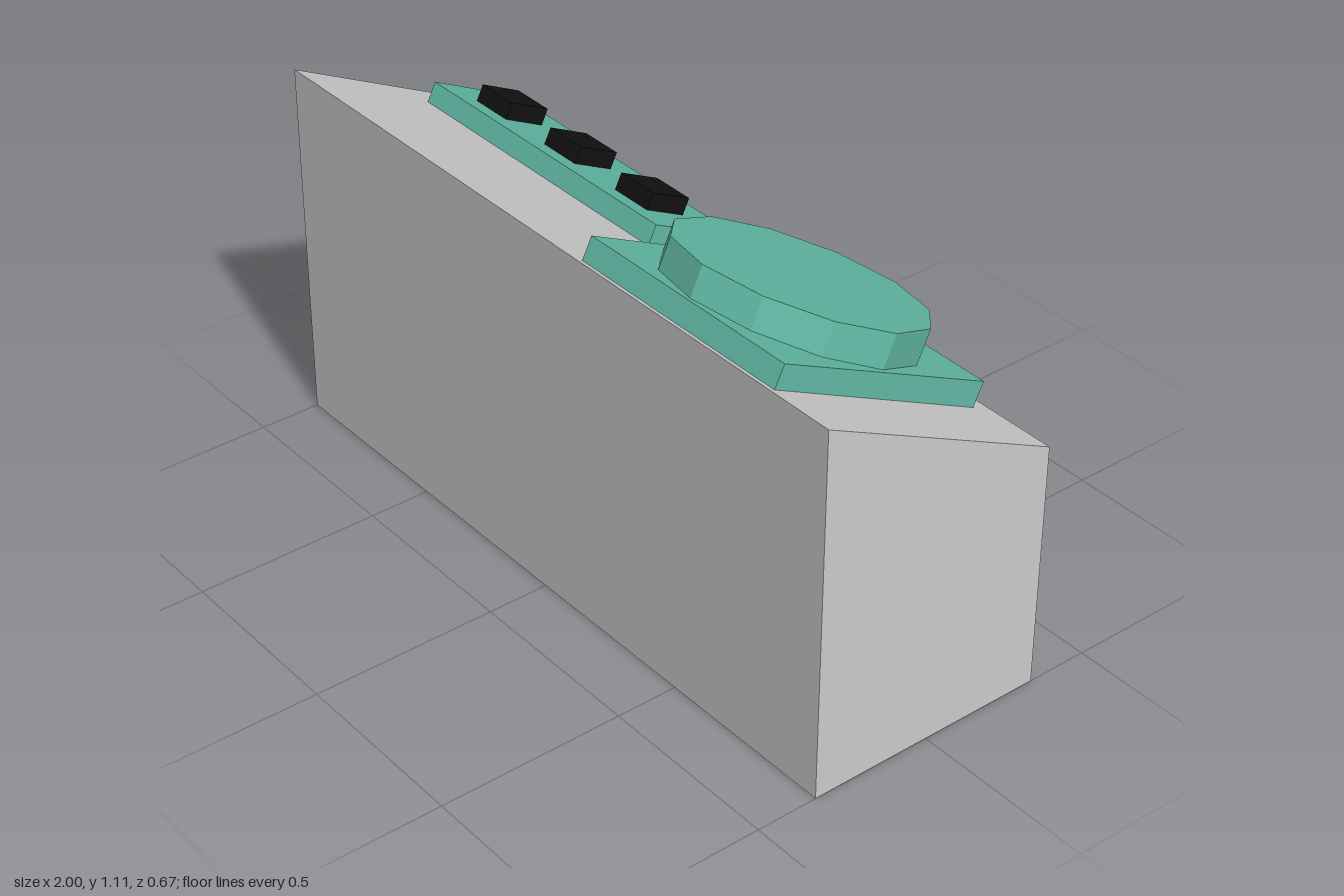
import * as THREE from 'three';

const grey = new THREE.MeshStandardMaterial({ color: 0xcccccc, flatShading: true });
const green = new THREE.MeshStandardMaterial({ color: 0x62b9a5, flatShading: true });
const black = new THREE.MeshStandardMaterial({ color: 0x111111, flatShading: true });

const SLOPE = Math.atan(0.5);

// Makes a part leaning back by tilt; (y, z) is the middle of its top face
function tiltedPart(name, geometry, material, height, tilt, x, y, z) {
  const mesh = new THREE.Mesh(geometry, material);
  mesh.name = name;
  mesh.rotation.x = -tilt;
  mesh.position.set(x, y - Math.cos(tilt) * height / 2, z + Math.sin(tilt) * height / 2);
  return mesh;
}

export function createModel() {
  const model = new THREE.Group();
  model.name = 'controlConsole';

  // Wedge-topped cabinet, high at the front
  const side = new THREE.Shape([
    new THREE.Vector2(-0.333, 0),
    new THREE.Vector2(0.333, 0),
    new THREE.Vector2(0.333, 0.667),
    new THREE.Vector2(-0.333, 1),
  ]);
  const cabinetGeometry = new THREE.ExtrudeGeometry(side, { depth: 2, bevelEnabled: false });
  cabinetGeometry.rotateY(Math.PI / 2).translate(-1, 0, 0);
  const cabinet = new THREE.Mesh(cabinetGeometry, grey);
  cabinet.name = 'cabinet';
  model.add(cabinet);

  // Square plate with a twelve-sided dial
  model.add(tiltedPart('dialPlate', new THREE.BoxGeometry(0.665, 0.067, 0.665), green,
    0.067, 0.457, 0.476, 0.9, -0.0085));
  model.add(tiltedPart('dial', new THREE.CylinderGeometry(0.317, 0.317, 0.1, 12), green,
    0.1, THREE.MathUtils.degToRad(25), 0.476, 0.979, -0.0455));

  // Long plate with three buttons
  model.add(tiltedPart('buttonPlate', new THREE.BoxGeometry(0.895, 0.058, 0.282), green,
    0.058, SLOPE, -0.4625, 0.82, -0.1485));
  for (let i = 0; i < 3; i++) {
    model.add(tiltedPart('button', new THREE.BoxGeometry(0.123, 0.06, 0.123), black,
      0.06, SLOPE, -0.742 + i * 0.282, 0.869, -0.15));
  }
  return model;
}
